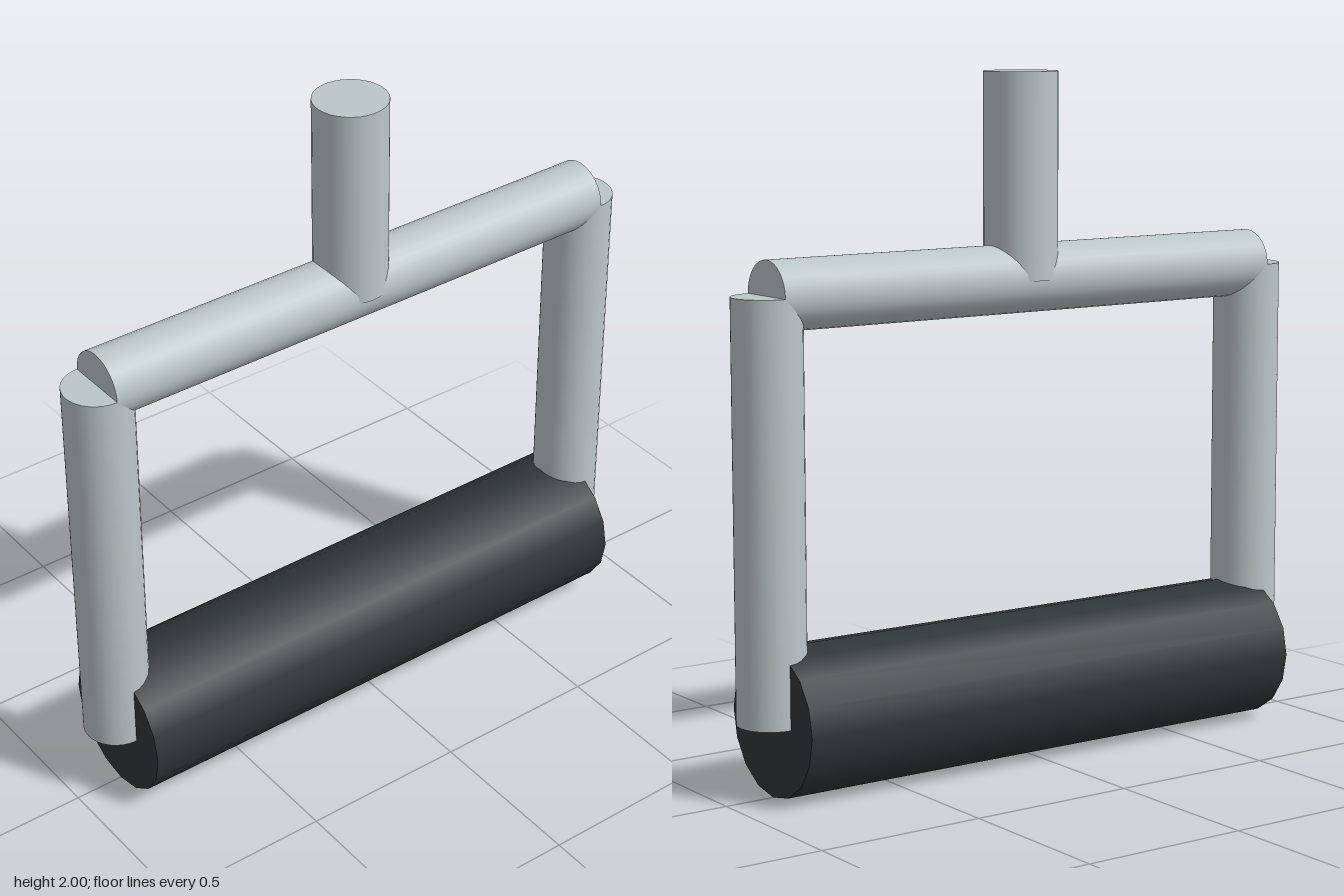
import * as THREE from 'three';

export function createModel() {
  const group = new THREE.Group();
  group.name = 'pullHandle';
  const metal = new THREE.MeshStandardMaterial({ color: 0xbcc6c9 });
  const rubber = new THREE.MeshStandardMaterial({ color: 0x2f3638 });

  // Solid rod, upright or lying along x
  function rod(name, radius, length, sides, material, x, y, alongX = false) {
    const geometry = new THREE.CylinderGeometry(radius, radius, length, sides);
    if (alongX) geometry.rotateZ(Math.PI / 2);
    const mesh = new THREE.Mesh(geometry, material);
    mesh.name = name;
    mesh.position.set(x, y, 0);
    group.add(mesh);
  }

  const gripY = 0.213, barY = 1.405, halfWidth = 0.85;

  // Thick grip along the bottom
  rod('grip', 0.2125, halfWidth * 2, 16, rubber, 0, gripY, true);

  // Side legs centred on the ends of the grip and the crossbar
  for (const [name, side] of [['leftLeg', 1], ['rightLeg', -1]]) {
    rod(name, 0.1, barY - gripY, 32, metal, side * halfWidth, (barY + gripY) / 2);
  }

  // Crossbar and the stem rising from its middle
  rod('crossbar', 0.1, halfWidth * 2, 32, metal, 0, barY, true);
  rod('stem', 0.108, 2 - barY, 32, metal, 0, (2 + barY) / 2);

  return group;
}
